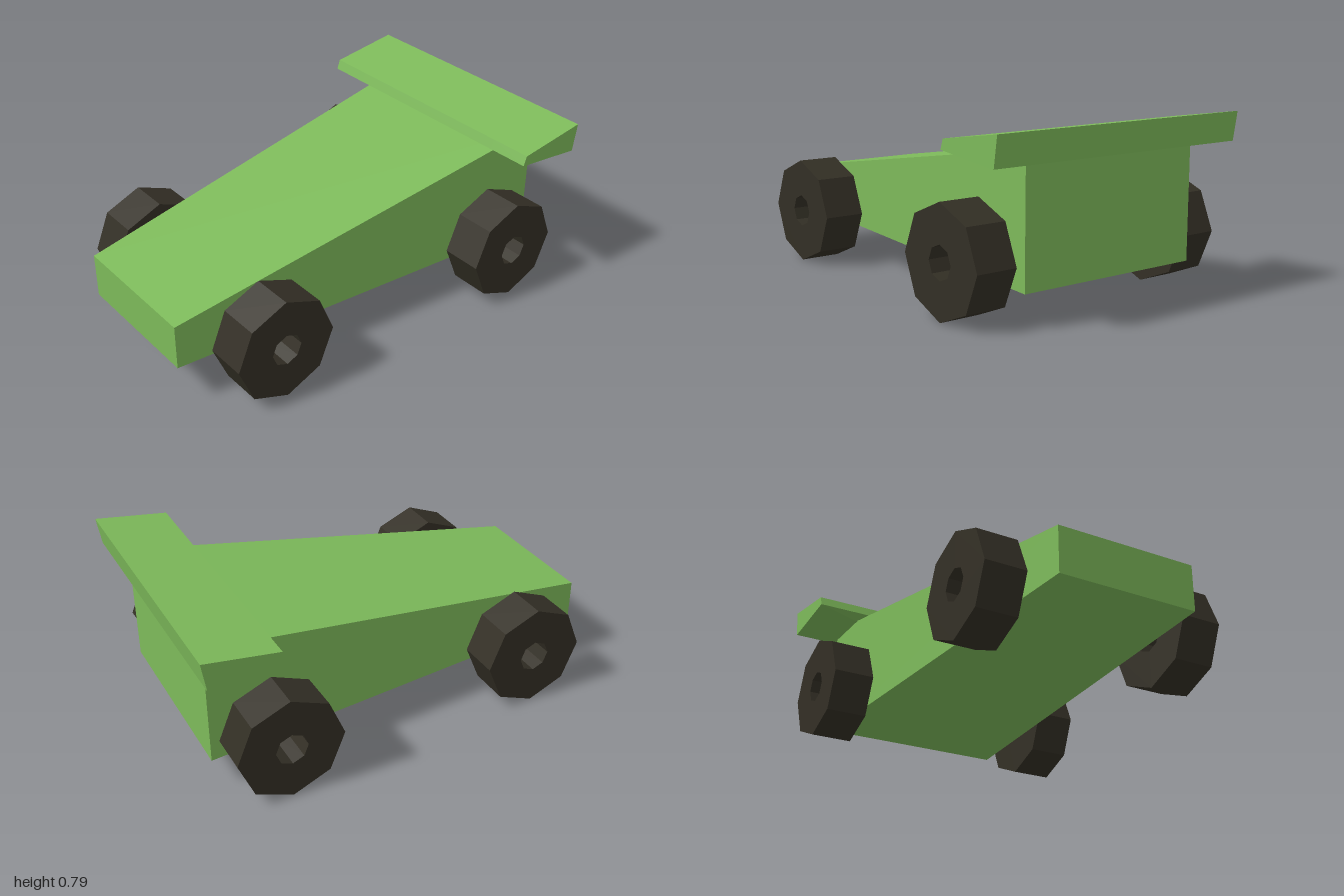
import * as THREE from 'three';

const green = new THREE.MeshStandardMaterial({ color: 0x7dba5a, flatShading: true });
const dark = new THREE.MeshStandardMaterial({ color: 0x332f25, flatShading: true });

function add(parent, name, geometry, material) {
  const mesh = new THREE.Mesh(geometry, material);
  mesh.name = name;
  parent.add(mesh);
  return mesh;
}

// Wedge body: a box tapered from the tall, wide tail to the low, narrow nose
function bodyGeometry() {
  const geo = new THREE.BoxGeometry(2, 2, 2);
  const p = geo.attributes.position;
  for (let i = 0; i < p.count; i++) {
    const nose = p.getZ(i) > 0, top = p.getY(i) > 0;
    const y = nose ? (top ? 0.395 : 0.185) : (top ? 0.705 : 0.145);
    p.setXYZ(i, Math.sign(p.getX(i)) * (nose ? 0.325 : 0.45), y, nose ? 1 : -0.92);
  }
  geo.computeVertexNormals();
  return geo;
}

// Wing: cross-sections [z, y] along x, with the underside sagging onto the body
function wingGeometry() {
  const ft = [-0.665, 0.735], fb = [-0.65, 0.69], rb = [-0.98, 0.655], rt = [-1, 0.785];
  const tip = [ft, fb, fb, rb, rb, rt];
  const middle = [ft, fb, [-0.695, 0.667], [-0.92, 0.648], rb, rt];
  const rings = [[-0.65, tip], [-0.45, middle], [0.45, middle], [0.65, tip]]
    .map(([x, pts]) => pts.map(([z, y]) => new THREE.Vector3(x, y, z)));
  const verts = [];
  const tri = (a, b, c) => {
    if (new THREE.Triangle(a, b, c).getArea() < 1e-7) return;
    for (const v of [a, b, c]) verts.push(v.x, v.y, v.z);
  };
  for (let i = 0; i < 3; i++) {
    for (let j = 0; j < 6; j++) {
      const k = (j + 1) % 6, r = rings[i], s = rings[i + 1];
      tri(r[j], r[k], s[k]);
      tri(r[j], s[k], s[j]);
    }
  }
  // End caps
  for (let j = 1; j < 5; j++) {
    tri(rings[3][0], rings[3][j], rings[3][j + 1]);
    tri(rings[0][0], rings[0][j + 1], rings[0][j]);
  }
  const geo = new THREE.BufferGeometry();
  geo.setAttribute('position', new THREE.Float32BufferAttribute(verts, 3));
  geo.computeVertexNormals();
  return geo;
}

// Octagonal wheel with an octagonal through hole, its axle along x
function wheelGeometry(radius, hole, width) {
  const octagon = (r) => Array.from({ length: 8 }, (_, i) =>
    new THREE.Vector2(r * Math.cos(i * Math.PI / 4), r * Math.sin(i * Math.PI / 4)));
  const shape = new THREE.Shape(octagon(radius));
  shape.holes.push(new THREE.Path(octagon(hole)));
  return new THREE.ExtrudeGeometry(shape, { depth: width, bevelEnabled: false })
    .translate(0, 0, -width / 2)
    .rotateY(Math.PI / 2);
}

export function createModel() {
  const car = new THREE.Group();
  car.name = 'wedgeRaceCar';

  add(car, 'body', bodyGeometry(), green);
  add(car, 'rearWing', wingGeometry(), green);

  // Four wheels, the rear pair set wider
  const wheel = wheelGeometry(0.243, 0.074, 0.19);
  for (const [end, x, z] of [['front', 0.475, 0.62], ['rear', 0.555, -0.64]]) {
    for (const [side, s] of [['Left', 1], ['Right', -1]]) {
      add(car, `${end}${side}Wheel`, wheel, dark).position.set(s * x, 0.243, z);
    }
  }
  return car;
}
